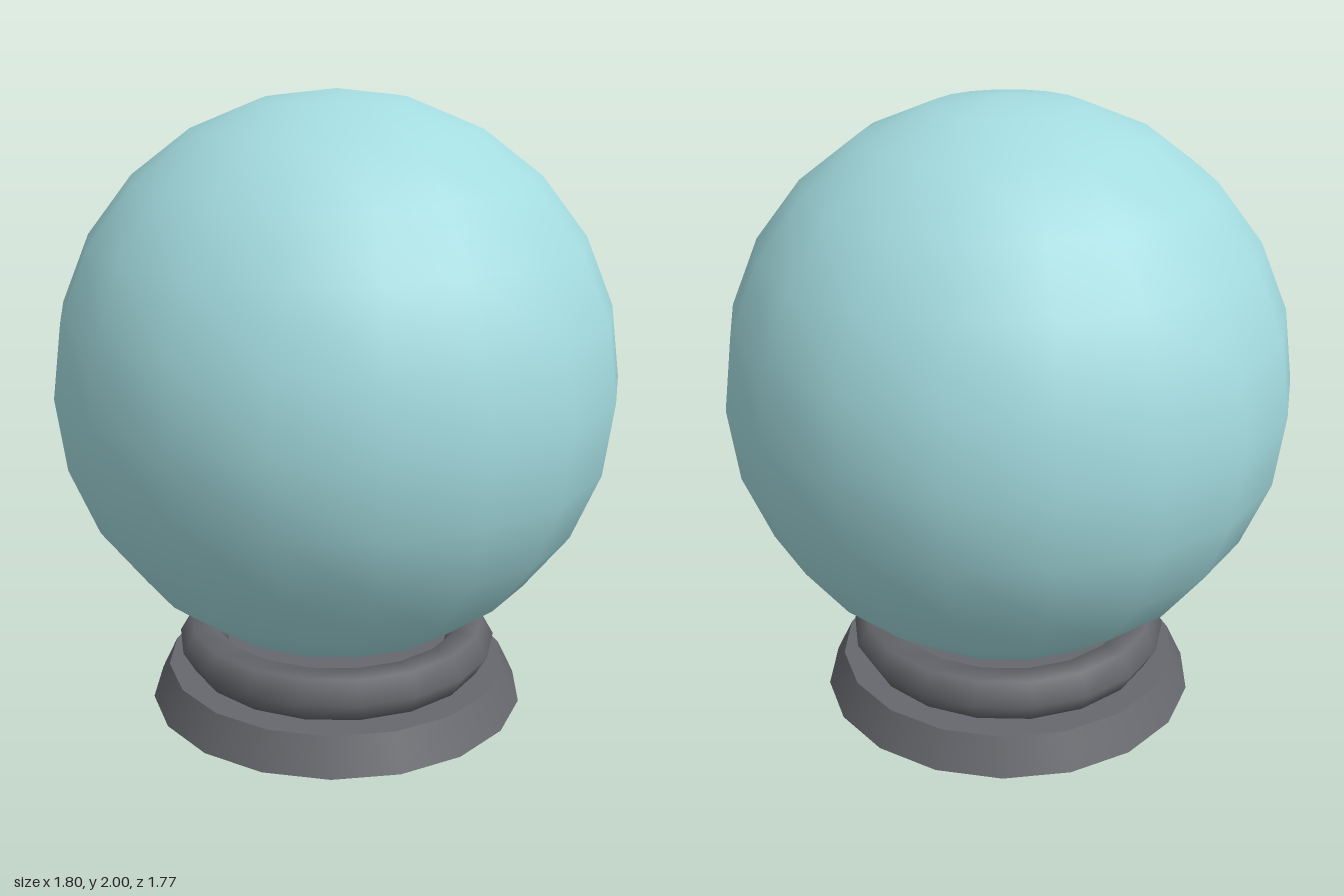
import * as THREE from 'three';

const SIDES = 18;

export function createModel() {
  const model = new THREE.Group();
  model.name = 'globeOnStand';

  const paleTeal = new THREE.MeshStandardMaterial({ color: 0xa4dce0 });
  paleTeal.name = 'pale teal';
  const darkGrey = new THREE.MeshStandardMaterial({ color: 0x66686d });
  darkGrey.name = 'dark grey';

  const add = (name, geometry, material, y) => {
    const mesh = new THREE.Mesh(geometry, material);
    mesh.name = name;
    mesh.position.y = y;
    model.add(mesh);
  };

  // Tapered foot
  add('foot', new THREE.CylinderGeometry(0.565, 0.62, 0.116, SIDES), darkGrey, 0.058);

  // Ring that cradles the ball, floating just above the foot
  const ring = new THREE.TorusGeometry(0.45, 0.079, 6, SIDES).rotateX(Math.PI / 2);
  add('supportRing', ring, darkGrey, 0.195);

  // Ball
  add('ball', new THREE.SphereGeometry(0.9, SIDES, 12), paleTeal, 1.1);

  return model;
}
